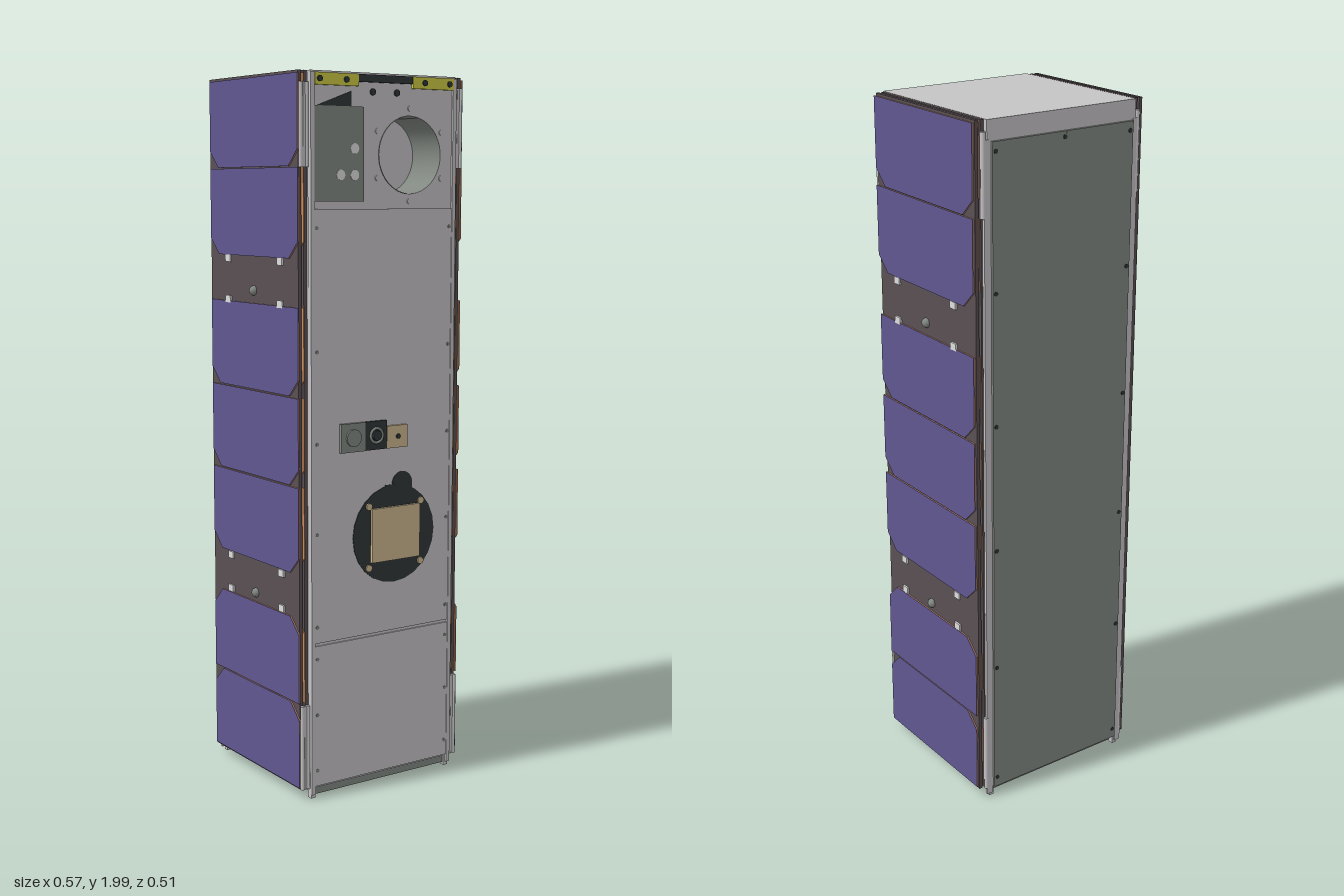
import * as THREE from 'three';

const mat = (name, color) => Object.assign(new THREE.MeshStandardMaterial({ color }), { name });

export function createModel() {
  const M = {
    shell: mat('light aluminium', 0xc6c4c6),
    grey: mat('green grey', 0x828882),
    dark: mat('charcoal', 0x2f3638),
    cell: mat('solar violet', 0x5f5790),
    board: mat('panel brown grey', 0x5a5054),
    tan: mat('ceramic tan', 0xcdb891),
    yellow: mat('yellow', 0xcfcb45),
    copper: mat('copper orange', 0xc98a5c),
    white: mat('white', 0xdedede),
  };
  M.liner = M.grey.clone();
  M.liner.side = THREE.DoubleSide;
  const model = new THREE.Group();

  const add = (name, geo, m, parent = model) => {
    const mesh = new THREE.Mesh(geo, m);
    mesh.name = name;
    parent.add(mesh);
    return mesh;
  };
  // Box given by its limits on each axis
  const box = (name, m, x0, x1, y0, y1, z0, z1, parent) =>
    add(name, new THREE.BoxGeometry(x1 - x0, y1 - y0, z1 - z0)
      .translate((x0 + x1) / 2, (y0 + y1) / 2, (z0 + z1) / 2), m, parent);
  // Short disc whose axis runs along z
  const disc = (name, m, x, y, z, r, h, parent) =>
    add(name, new THREE.CylinderGeometry(r, r, h, 24).rotateX(Math.PI / 2).translate(x, y, z), m, parent);
  const polygon = (pts) => new THREE.Shape(pts.map(([x, y]) => new THREE.Vector2(x, y)));
  const extrude = (shape, depth) =>
    new THREE.ExtrudeGeometry(shape, { depth, bevelEnabled: false, curveSegments: 24 });

  // Main body: solid rear block, front block with a round aperture
  box('rearBody', M.shell, -0.24, 0.24, 0.03, 1.99, -0.25, 0.11);
  const front = polygon([[-0.24, 0.03], [0.24, 0.03], [0.24, 1.99], [-0.24, 1.99]]);
  const hole = new THREE.Path();
  hole.absarc(0.085, 1.775, 0.105, 0, Math.PI * 2, true);
  front.holes.push(hole);
  add('frontBody', extrude(front, 0.125).translate(0, 0, 0.11), M.shell);
  add('apertureLiner', new THREE.CylinderGeometry(0.104, 0.104, 0.127, 48, 1, true)
    .rotateX(Math.PI / 2).translate(0.085, 1.775, 0.174), M.liner);
  box('lowerFrontPanel', M.shell, -0.232, 0.232, 0.035, 0.437, 0.235, 0.239);
  box('middleFrontPanel', M.shell, -0.232, 0.232, 0.445, 1.63, 0.235, 0.239);
  box('basePlate', M.grey, -0.225, 0.225, 0.008, 0.03, -0.235, 0.228);

  // Back cover and its screws
  box('backCover', M.grey, -0.228, 0.228, 0.03, 1.935, -0.257, -0.25);
  for (const y of [0.06, 0.43, 0.8, 1.17, 1.54, 1.91])
    for (const x of [-0.218, 0.218]) disc('backScrew', M.dark, x, y, -0.257, 0.006, 0.004);
  disc('backScrew', M.dark, 0, 1.92, -0.257, 0.006, 0.004);

  // Front panel screws
  for (const y of [0.08, 0.24, 0.4, 0.49, 0.75, 1.0, 1.25, 1.58])
    for (const x of [-0.222, 0.222]) disc('frontScrew', M.grey, x, y, 0.239, 0.005, 0.003);
  for (let i = 0; i < 6; i++) {
    const a = Math.PI / 6 + (i * Math.PI) / 3;
    disc('apertureScrew', M.shell, 0.085 + 0.125 * Math.cos(a), 1.775 + 0.125 * Math.sin(a), 0.235, 0.008, 0.006);
  }

  // Bottom edge, top, chamfered corner and orientation of each solar cell
  const cells = [[0.035, 1], [0.278, 1], [0.642, -1], [0.886, -1], [1.13, -1], [1.5, -1], [1.743, -1]];
  const cellShape = (y, dir) => {
    const h = 0.24, c = 0.045, w = 0.23;
    const [p, q] = dir > 0 ? [0, c] : [c, 0];
    return polygon([[-w + p, y], [w - p, y], [w, y + p], [w, y + h - q],
      [w - q, y + h], [-w + q, y + h], [-w, y + h - q], [-w, y + p]]);
  };

  // Both folded solar wings, mirrored left and right
  for (const s of [1, -1]) {
    const wing = new THREE.Group();
    wing.name = s > 0 ? 'leftSolarWing' : 'rightSolarWing';
    model.add(wing);
    const sbox = (name, m, x0, x1, ...r) =>
      box(name, m, Math.min(s * x0, s * x1), Math.max(s * x0, s * x1), ...r, wing);
    sbox('innerBoard', M.board, 0.242, 0.253, 0.03, 1.99, -0.24, 0.222);
    sbox('outerBoard', M.board, 0.26, 0.27, 0.03, 1.99, -0.24, 0.222);
    for (const [y, dir] of cells) {
      // Shapes are drawn in z and y, then turned to face outward
      const plate = (name, m, x, t) => add(name, extrude(cellShape(y, dir), t)
        .rotateY(s * Math.PI / 2).translate(s * x, 0, -0.004), m, wing);
      plate('innerCell', M.copper, 0.253, 0.003);
      plate('cellBacking', M.copper, 0.27, 0.003);
      plate('solarCell', M.cell, 0.273, 0.0015);
    }
    // White contact tabs and central bumpers in the two dark bands
    for (const [lo, hi] of [[0.53, 0.63], [1.375, 1.49]]) {
      for (const z of [-0.14, 0.135])
        for (const y of [lo, hi])
          sbox('contactTab', M.white, 0.27, 0.2755, y - 0.01, y + 0.01, z - 0.013, z + 0.013);
      add('bumper', new THREE.SphereGeometry(0.014, 16, 10)
        .translate(s * 0.27, lo + (lo < 1 ? 0.015 : 0.03), -0.005), M.grey, wing);
    }
    // Corner rails with feet
    sbox('rearRail', M.shell, 0.232, 0.25, 0.01, 1.94, -0.252, -0.243);
    sbox('frontRail', M.shell, 0.23, 0.242, 0.012, 1.985, 0.226, 0.241);
    for (const z of [-0.24, 0.225]) sbox('foot', M.shell, 0.226, 0.24, 0, 0.04, z - 0.008, z + 0.008);
    // Hinge barrels
    for (const [y, h] of [[0.15, 0.24], [1.85, 0.22]]) {
      for (const x of [0.247, 0.265])
        add('frontHinge', new THREE.CylinderGeometry(0.006, 0.006, h, 12)
          .translate(s * x, y, 0.228), M.shell, wing);
      sbox('hingeLeaf', M.shell, 0.24, 0.266, y - h / 2, y + h / 2, 0.225, 0.231);
      add('rearHinge', new THREE.CylinderGeometry(0.007, 0.007, h, 12)
        .translate(s * 0.249, y, -0.246), M.shell, wing);
    }
    // Yellow end plates
    sbox('yellowPlate', M.yellow, 0.09, 0.23, 1.953, 1.985, 0.235, 0.243);
    for (const x of [0.13, 0.215]) disc('plateScrew', M.dark, s * x, 1.969, 0.244, 0.008, 0.005, wing);
    disc('topPin', M.dark, s * 0.04, 1.94, 0.236, 0.009, 0.006, wing);
  }
  box('topConnector', M.dark, -0.1, 0.1, 1.965, 1.985, 0.235, 0.242);
  for (let i = 0; i < 2; i++) // dark edging along the top of the rear cover
    box('topRearEdge', M.grey, i ? 0.005 : -0.228, i ? 0.228 : -0.005, 1.928, 1.935, -0.2585, -0.257);

  // Upper sensor cover with a sloped dark vent
  box('sensorCover', M.grey, -0.235, -0.07, 1.65, 1.9, 0.235, 0.2385);
  add('sensorVent', extrude(polygon([[-0.22, 1.9], [-0.11, 1.9], [-0.11, 1.94]]), 0.003)
    .translate(0, 0, 0.235), M.dark);
  for (const [x, y] of [[-0.1, 1.79], [-0.1, 1.72], [-0.145, 1.72]])
    disc('sensorWindow', M.white, x, y, 0.2385, 0.014, 0.002);

  // Middle instrument row
  box('instrumentBox', M.grey, -0.15, -0.07, 0.97, 1.05, 0.237, 0.249);
  disc('instrumentCap', M.grey, -0.11, 1.01, 0.251, 0.024, 0.008);
  box('cameraPlate', M.dark, -0.07, 0.005, 0.97, 1.05, 0.237, 0.246);
  add('cameraRing', new THREE.TorusGeometry(0.02, 0.004, 8, 28).translate(-0.03, 1.01, 0.247), M.grey);
  disc('cameraLens', M.dark, -0.03, 1.01, 0.248, 0.014, 0.008);
  box('smallAntenna', M.tan, 0.005, 0.075, 0.97, 1.033, 0.237, 0.248);
  disc('antennaPin', M.dark, 0.042, 1.002, 0.249, 0.007, 0.005);

  // Round antenna base with side lobe, and square patch
  disc('antennaBase', M.dark, 0.035, 0.725, 0.239, 0.14, 0.004);
  disc('antennaLobe', M.dark, 0.063, 0.865, 0.239, 0.035, 0.0036);
  box('antennaNeck', M.dark, 0.005, 0.098, 0.82, 0.865, 0.237, 0.2407);
  box('patchAntenna', M.tan, -0.045, 0.12, 0.65, 0.803, 0.24, 0.249);
  for (const x of [-0.052, 0.127])
    for (const y of [0.635, 0.81]) disc('patchScrew', M.tan, x, y, 0.242, 0.01, 0.006);

  return model;
}
